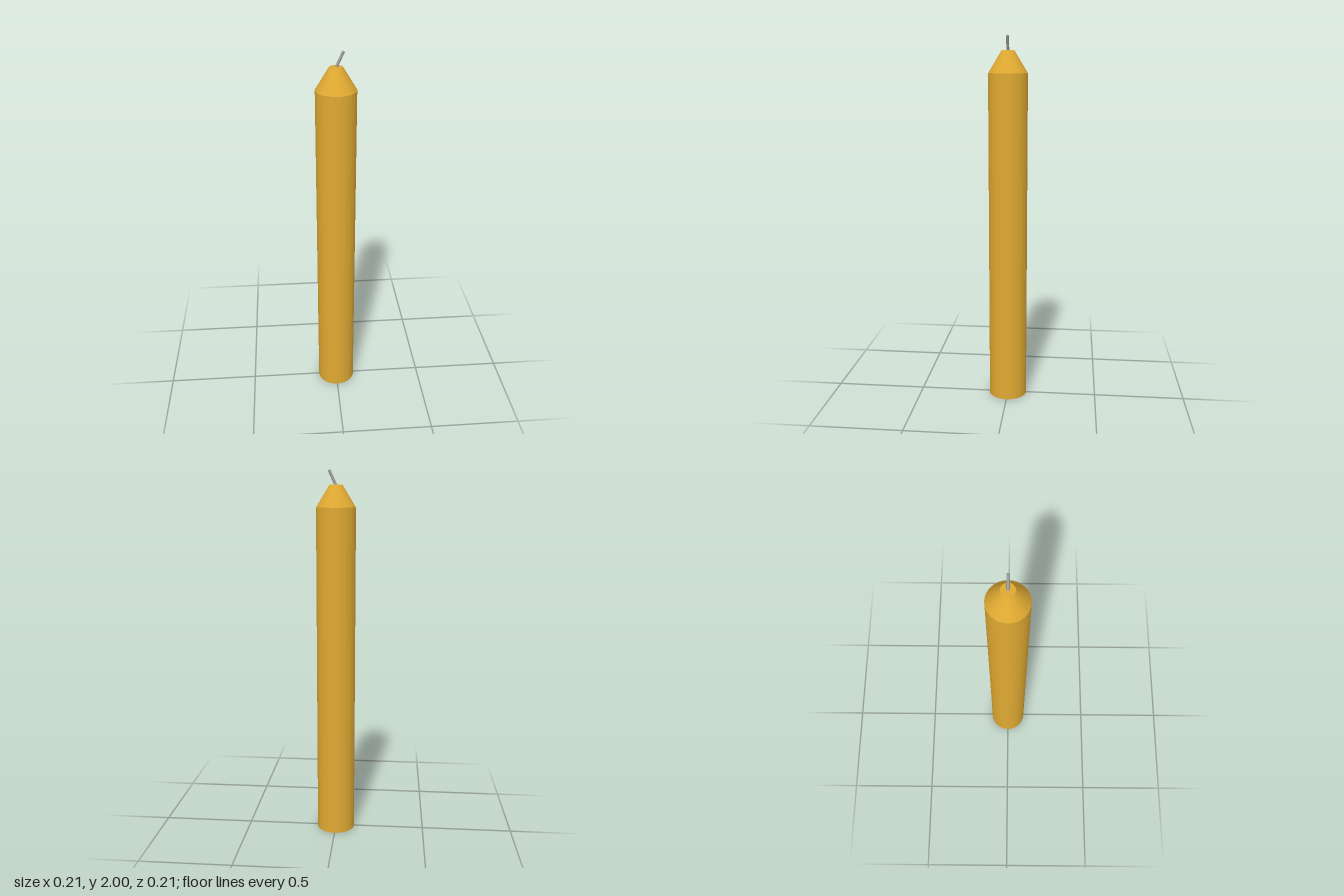
import * as THREE from 'three';

export function createModel() {
  const model = new THREE.Group();
  model.name = 'candle';

  const wax = new THREE.MeshStandardMaterial({ color: 0xdfa932, flatShading: true });
  wax.name = 'golden wax';
  const cord = new THREE.MeshStandardMaterial({ color: 0xa0a0a0 });
  cord.name = 'grey cord';

  const SIDES = 32, RADIUS = 0.105, SHOULDER = 1.807, TIP = 1.923;

  // Straight wax column with closed base, tapered shoulder and small flat tip
  const profile = [[0, 0], [RADIUS, 0], [RADIUS, SHOULDER], [0.034, TIP], [0, TIP]]
    .map(([r, y]) => new THREE.Vector2(r, y));
  const body = new THREE.Mesh(new THREE.LatheGeometry(profile, SIDES), wax);
  body.name = 'waxBody';
  model.add(body);

  // Short wick leaning towards the model's left
  const start = new THREE.Vector3(0, TIP - 0.004, 0);
  const end = new THREE.Vector3(0.036, 1.997, 0);
  const lean = end.clone().sub(start);
  const wick = new THREE.Mesh(new THREE.CylinderGeometry(0.0075, 0.0075, lean.length(), 16), cord);
  wick.name = 'wick';
  wick.position.copy(start).add(end).multiplyScalar(0.5);
  wick.quaternion.setFromUnitVectors(new THREE.Vector3(0, 1, 0), lean.normalize());
  model.add(wick);

  return model;
}
